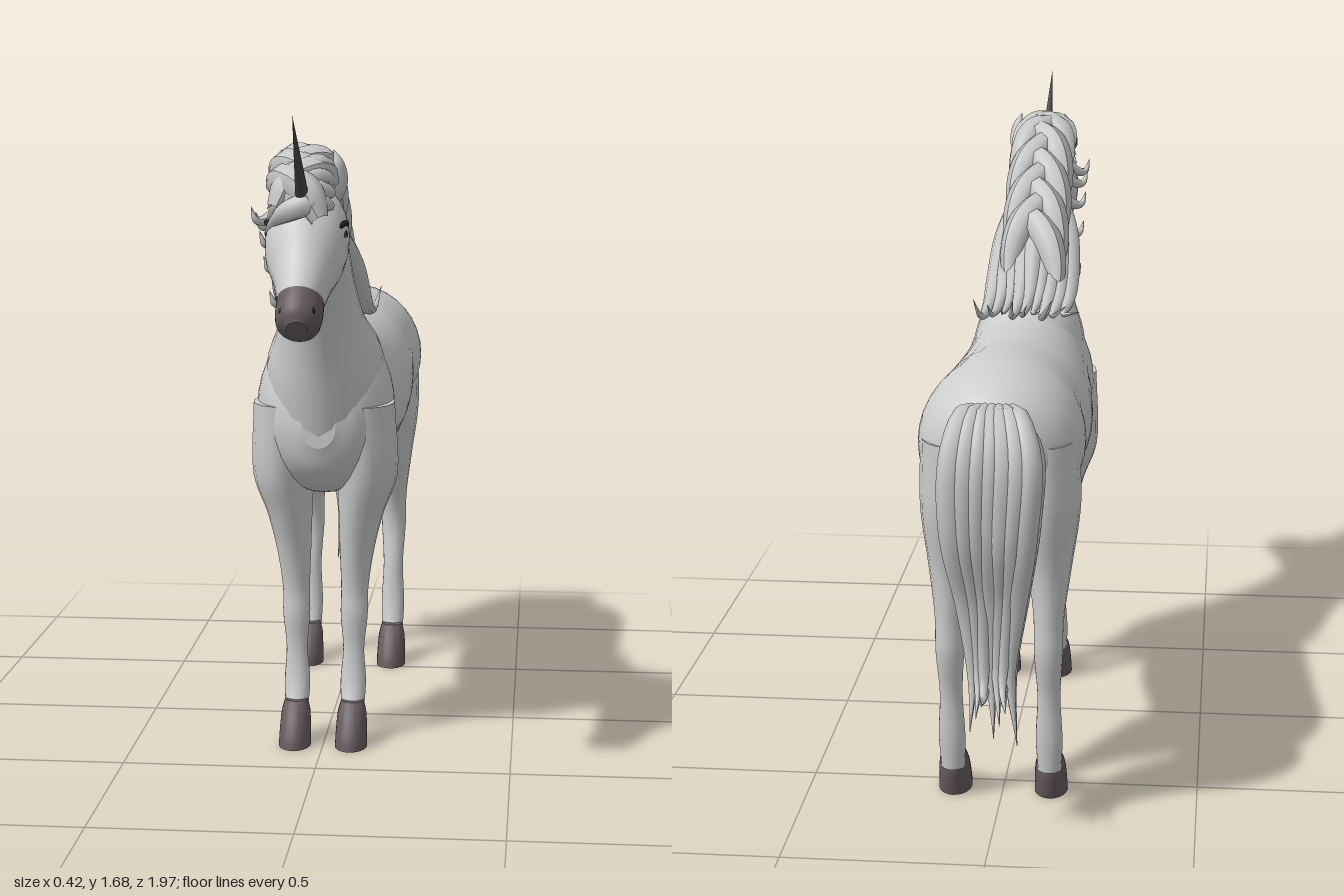
import * as THREE from 'three';

const mat = (name, color) => {
  const m = new THREE.MeshStandardMaterial({ color });
  m.name = name;
  return m;
};
const V = (x, y, z) => new THREE.Vector3(x, y, z);

// Smooth skin through oval sections. Each section: [yA, zA, yB, zB, halfWidth, centreX]
// where A and B are opposite points of the oval on its middle plane.
function loft(sections, steps = 5, sides = 28) {
  const a = new THREE.CatmullRomCurve3(sections.map(s => V(s[5] || 0, s[0], s[1])));
  const b = new THREE.CatmullRomCurve3(sections.map(s => V(s[4], s[2], s[3])));
  const n = (sections.length - 1) * steps;
  const pos = [], idx = [];
  const ring = t => {
    const p = a.getPoint(t), q = b.getPoint(t);
    for (let j = 0; j < sides; j++) {
      const k = j / sides * Math.PI * 2, c = Math.cos(k) / 2;
      pos.push(p.x + Math.sin(k) * q.x,
        (p.y + q.y) / 2 + c * (q.y - p.y),
        (p.z + q.z) / 2 + c * (q.z - p.z));
    }
    return V(p.x, (p.y + q.y) / 2, (p.z + q.z) / 2);
  };
  for (let i = 0; i <= n; i++) ring(i / n);
  for (let i = 0; i < n; i++) {
    for (let j = 0; j < sides; j++) {
      const k = (j + 1) % sides, r = i * sides, u = r + sides;
      idx.push(r + j, u + j, r + k, r + k, u + j, u + k);
    }
  }
  // separate end caps
  for (const end of [0, 1]) {
    const base = pos.length / 3;
    const c = ring(end);
    pos.push(c.x, c.y, c.z);
    for (let j = 0; j < sides; j++) {
      const k = (j + 1) % sides;
      if (end) idx.push(base + sides, base + k, base + j);
      else idx.push(base + sides, base + j, base + k);
    }
  }
  const g = new THREE.BufferGeometry();
  g.setAttribute('position', new THREE.Float32BufferAttribute(pos, 3));
  g.setIndex(idx);
  g.computeVertexNormals();
  return g;
}

// Lock of hair: a tube that swells from its root and tapers to a point
function lock(points, radius, root = 0.45, seg = 22, sides = 8) {
  const path = new THREE.CatmullRomCurve3(points.map(p => V(...p)));
  const g = new THREE.TubeGeometry(path, seg, radius, sides, false);
  const pos = g.attributes.position, v = V(0, 0, 0);
  for (let i = 0; i <= seg; i++) {
    const t = i / seg, c = path.getPointAt(t);
    const k = t < 0.35
      ? root + (1 - root) * Math.sin(t / 0.35 * Math.PI / 2)
      : Math.max(0.02, Math.cos((t - 0.35) / 0.65 * Math.PI / 2));
    for (let j = 0; j <= sides; j++) {
      const n = i * (sides + 1) + j;
      v.fromBufferAttribute(pos, n).sub(c).multiplyScalar(k).add(c);
      pos.setXYZ(n, v.x, v.y, v.z);
    }
  }
  g.computeVertexNormals();
  return g;
}

export function createModel() {
  const root = new THREE.Group();
  const coat = mat('coat', 0xcccdcd);
  const hair = mat('hair', 0xc6c7c7);
  const dark = mat('muzzle and hoof', 0x665c5f);
  const hornMat = mat('horn', 0x4c4748);
  const eyeMat = mat('eye rim', 0x4a4648);
  const pupilMat = mat('pupil', 0x201e20);
  const group = name => {
    const g = new THREE.Group();
    g.name = name;
    root.add(g);
    return g;
  };
  const add = (name, geo, m, parent = root) => {
    const mesh = new THREE.Mesh(geo, m);
    mesh.name = name;
    parent.add(mesh);
    return mesh;
  };

  // Torso from rump to chest, neck, head and muzzle
  add('torso', loft([
    [0.93, -0.775, 1.03, -0.775, 0.04], [0.84, -0.755, 1.075, -0.755, 0.115],
    [0.77, -0.69, 1.12, -0.69, 0.18], [0.735, -0.57, 1.145, -0.57, 0.208],
    [0.735, -0.42, 1.14, -0.42, 0.197], [0.69, -0.22, 1.117, -0.22, 0.203],
    [0.667, 0, 1.115, 0, 0.19], [0.662, 0.12, 1.13, 0.12, 0.178],
    [0.67, 0.22, 1.13, 0.22, 0.18], [0.695, 0.32, 1.1, 0.32, 0.155],
    [0.75, 0.385, 1.02, 0.385, 0.105], [0.82, 0.415, 0.93, 0.415, 0.045]], 5, 36), coat);
  add('neck', loft([
    [0.8, 0.4, 1.08, -0.04, 0.165], [0.95, 0.445, 1.13, 0.05, 0.148],
    [1.05, 0.475, 1.19, 0.17, 0.115], [1.14, 0.508, 1.29, 0.28, 0.095],
    [1.22, 0.55, 1.41, 0.4, 0.085], [1.27, 0.6, 1.5, 0.5, 0.08],
    [1.32, 0.64, 1.51, 0.58, 0.06]]), coat);
  const lip = [1.195, 0.76, 1.285, 0.885, 0.056];
  add('head', loft([
    [1.33, 0.53, 1.45, 0.53, 0.045], [1.27, 0.565, 1.5, 0.575, 0.083],
    [1.25, 0.62, 1.51, 0.66, 0.1], [1.232, 0.69, 1.455, 0.755, 0.096],
    [1.215, 0.73, 1.36, 0.82, 0.072], lip]), coat);
  add('muzzle', loft([lip, [1.165, 0.81, 1.262, 0.906, 0.056],
    [1.15, 0.85, 1.235, 0.922, 0.05], [1.165, 0.892, 1.205, 0.926, 0.025]]), dark);

  // Legs and hooves
  const foreLeg = [[0.92, 0.13, 0.38, 0.085, 0.1], [0.72, 0.09, 0.35, 0.08, 0.11],
    [0.62, 0.125, 0.315, 0.06, 0.095], [0.52, 0.165, 0.28, 0.046, 0.084],
    [0.41, 0.188, 0.256, 0.036, 0.078], [0.34, 0.196, 0.255, 0.036, 0.077],
    [0.25, 0.208, 0.247, 0.028, 0.076], [0.16, 0.2, 0.257, 0.034, 0.075],
    [0.08, 0.215, 0.285, 0.03, 0.075]];
  const hindLeg = [[0.97, -0.75, -0.47, 0.08, 0.115], [0.79, -0.738, -0.45, 0.078, 0.122],
    [0.63, -0.698, -0.525, 0.055, 0.124], [0.5, -0.686, -0.593, 0.038, 0.124],
    [0.41, -0.682, -0.613, 0.036, 0.124], [0.29, -0.654, -0.6, 0.029, 0.124],
    [0.17, -0.643, -0.588, 0.034, 0.124], [0.08, -0.63, -0.565, 0.03, 0.124]];
  const hoof = [[0.115, -0.05, 0.015, 0.03], [0.085, -0.065, 0.045, 0.038],
    [0.03, -0.055, 0.078, 0.042], [0, -0.045, 0.085, 0.043]];
  for (const s of [1, -1]) {
    const side = s > 0 ? 'left' : 'right';
    for (const [kind, leg, hx, hz] of [['Front', foreLeg, 0.075, 0.275], ['Hind', hindLeg, 0.124, -0.56]]) {
      add(side + kind + 'Leg',
        loft(leg.map(([y, b, f, w, x]) => [y, b, y, f, w, x * s]), 5, 20), coat);
      add(side + kind + 'Hoof',
        loft(hoof.map(([y, b, f, w]) => [y, b + hz, y, f + hz, w, hx * s]), 4, 20), dark);
    }

    // Ear, eye and nostril
    const ear = add(side + 'Ear', lock([[0.05 * s, 1.46, 0.6], [0.068 * s, 1.52, 0.63],
      [0.072 * s, 1.56, 0.65], [0.062 * s, 1.59, 0.655]], 0.028, 0.7), coat);
    ear.castShadow = false;
    const ball = new THREE.SphereGeometry(1, 18, 12);
    const eye = add(side + 'Eye', ball, eyeMat);
    eye.position.set(0.083 * s, 1.393, 0.69);
    eye.scale.set(0.012, 0.021, 0.035);
    eye.rotation.set(0.25, 0.15 * s, 0.35 * s);
    const pupil = add(side + 'Pupil', ball, pupilMat);
    pupil.position.set(0.088 * s, 1.392, 0.691);
    pupil.scale.set(0.011, 0.015, 0.018);
    pupil.rotation.copy(eye.rotation);
    const nostril = add(side + 'Nostril', ball, pupilMat);
    nostril.position.set(0.034 * s, 1.225, 0.9);
    nostril.scale.set(0.009, 0.014, 0.009);
    // upper lashes
    add(side + 'Lashes', lock([[0.078 * s, 1.405, 0.73], [0.095 * s, 1.418, 0.695],
      [0.095 * s, 1.402, 0.65]], 0.007), pupilMat);
  }

  // Horn along the brow line
  const from = V(0, 1.44, 0.735), to = V(0, 1.68, 0.99), dir = to.clone().sub(from);
  const horn = add('horn', new THREE.ConeGeometry(0.02, dir.length(), 14), hornMat);
  horn.position.copy(from).add(to).multiplyScalar(0.5);
  horn.quaternion.setFromUnitVectors(V(0, 1, 0), dir.normalize());

  // Mane: thick crossing locks down the crest
  const mane = group('mane');
  const crest = new THREE.CatmullRomCurve3([V(0, 1.46, 0.79), V(0, 1.515, 0.71), V(0, 1.545, 0.62),
    V(0, 1.53, 0.5), V(0, 1.45, 0.4), V(0, 1.36, 0.3), V(0, 1.265, 0.2), V(0, 1.19, 0.1)]);
  for (let i = 0; i < 13; i++) {
    const s = i % 2 ? 1 : -1, u = i * 0.058;
    const at = (du, x, dy) => {
      const p = crest.getPoint(Math.min(1, u + du));
      return [x * s - 0.012, p.y + dy, p.z];
    };
    add('crestLock', lock([at(0, -0.055, -0.03), at(0.05, -0.02, 0.012), at(0.13, 0.035, 0.01),
      at(0.23, 0.066, -0.035), at(0.32, 0.055, -0.06)], 0.043, 0.5), hair, mane);
  }
  // forelock sweeping across the brow
  for (let i = 0; i < 4; i++) {
    const y = 1.44 + i * 0.028, z = 0.765 - i * 0.03;
    add('forelock', lock([[0.06, y + 0.02, z - 0.05], [0.025, y + 0.03, z + 0.015],
      [-0.03, y + 0.012, z + 0.02], [-0.075, y - 0.02, z - 0.03],
      [-0.1, y - 0.05, z - 0.06]], 0.028), hair, mane);
  }
  // long locks lying over the neck to the withers
  for (let i = 0; i < 9; i++) {
    const f = i / 4 - 1, e = Math.abs(f), w = i % 3;
    add('longLock', lock([[0.05 * f - 0.01, 1.47 - 0.06 * e, 0.45],
      [0.085 * f - 0.01, 1.37 - 0.07 * e, 0.33], [0.1 * f - 0.01, 1.25 - 0.06 * e, 0.2],
      [0.105 * f - 0.01, 1.165 - 0.015 * e, 0.08], [0.11 * f, 1.135, 0.0 - 0.02 * w],
      [0.14 * f - 0.015, 1.15 + 0.02 * w, -0.03 - 0.025 * w]], 0.032), hair, mane);
  }
  // small loose curls on the right side
  [[1.44, 0.66], [1.42, 0.57], [1.37, 0.5], [1.3, 0.42], [1.2, 0.3]].forEach(([y, z]) => {
    add('curl', lock([[-0.06, y + 0.03, z - 0.03], [-0.095, y - 0.015, z - 0.01],
      [-0.122, y - 0.02, z + 0.01], [-0.135, y + 0.015, z + 0.02]], 0.015), hair, mane);
  });

  // Tail: arched locks that gather below and end in wisps
  const tail = group('tail');
  for (let i = 0; i < 14; i++) {
    const f = (i % 7) / 3 - 1, back = i < 7 ? 1 : 0, w = (i * 5) % 7 / 6;
    const z = back ? 0 : 0.07;
    add('tailLock', lock([[0.025 * f, 1.04, -0.75], [0.06 * f, 1.075 - 0.03 * (1 - back), -0.82 + z * 0.3],
      [0.09 * f - 0.005, 0.99, -0.885 + z], [0.085 * f, 0.8, -0.89 + z * 1.3],
      [0.06 * f, 0.6, -0.84 + z], [0.045 * f, 0.43 - 0.04 * w, -0.83 + z * 0.4 - 0.04 * w],
      [0.055 * f - 0.01, 0.25 + 0.15 * w, -0.855 - 0.125 * w]], 0.034, 0.6, 30), hair, tail);
  }

  return root;
}
